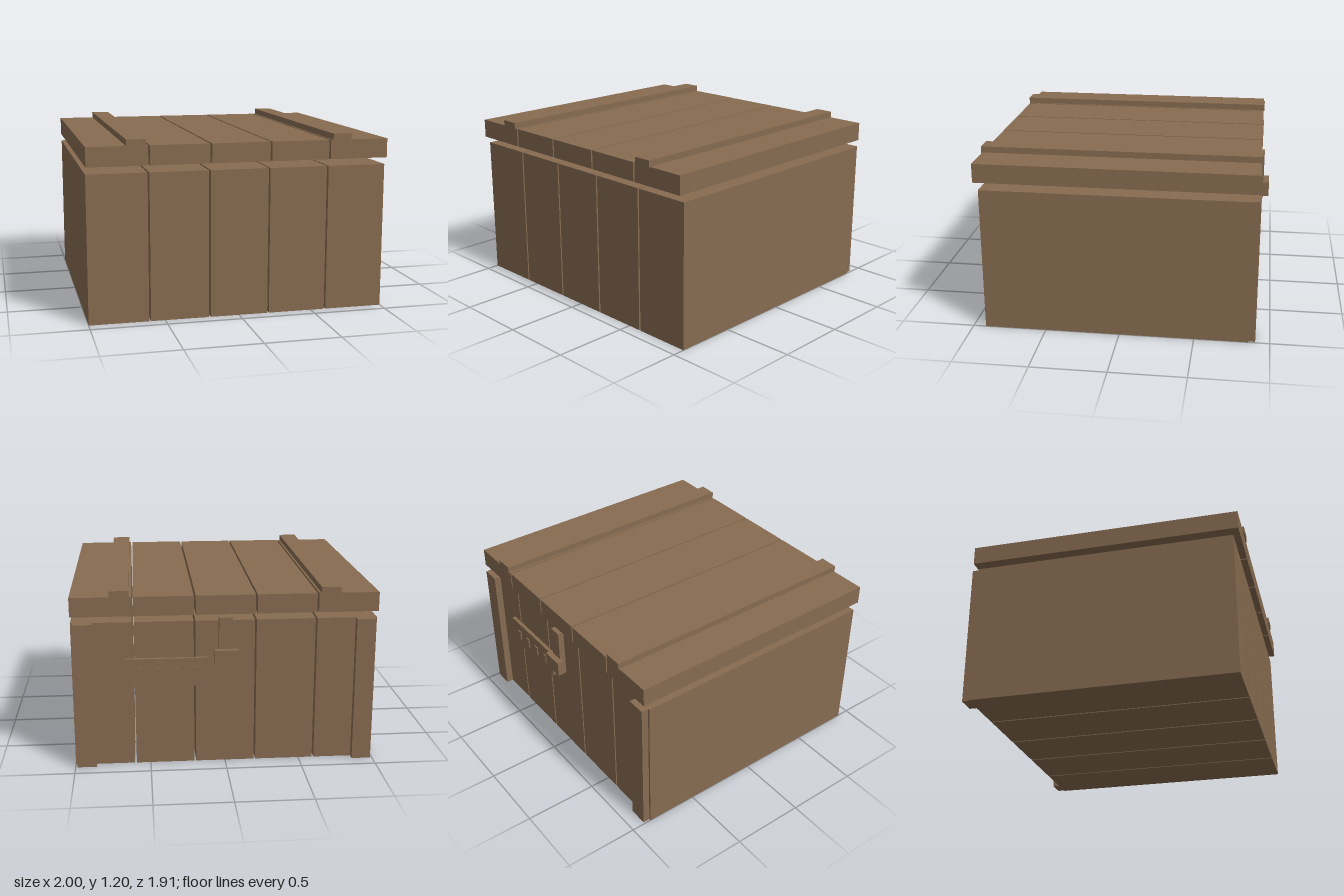
import * as THREE from 'three';

export function createModel() {
  const model = new THREE.Group();
  const wood = new THREE.MeshStandardMaterial({ color: 0x866b50 });
  wood.name = 'brown wood';

  // Box given by its lower and upper bounds on each axis
  function box(name, x0, x1, y0, y1, z0, z1) {
    const mesh = new THREE.Mesh(new THREE.BoxGeometry(x1 - x0, y1 - y0, z1 - z0), wood);
    mesh.position.set((x0 + x1) / 2, (y0 + y1) / 2, (z0 + z1) / 2);
    mesh.name = name;
    model.add(mesh);
  }

  // Five body planks and five lid planks, with narrow gaps between them
  for (let i = 0; i < 5; i++) {
    const x0 = i === 0 ? -1 : -1 + i * 0.4 + 0.006;
    const x1 = i === 4 ? 1 : -1 + (i + 1) * 0.4 - 0.006;
    box('bodyPlank', x0, x1, 0, 0.98, -0.857, 0.915);
    box('lidPlank', x0, x1, 1.03, 1.157, -0.897, 0.95);
  }

  // Lid battens and rear corner strips
  for (const s of [-1, 1]) {
    const [b0, b1] = [0.62 * s, 0.745 * s].sort((a, b) => a - b);
    box('lidBatten', b0, b1, 1.15, 1.198, -0.904, 0.957);
    const [c0, c1] = [0.86 * s, 0.987 * s].sort((a, b) => a - b);
    box('cornerStrip', c0, c1, 0, 0.98, -0.905, -0.855);
  }

  // Rear plate with four small raised tabs
  box('latchPlate', 0.11, 0.66, 0.55, 0.74, -0.895, -0.87);
  for (let i = 0; i < 4; i++) {
    const x = 0.205 + i * 0.117;
    box('plateTab', x - 0.016, x + 0.016, 0.61, 0.68, -0.904, -0.89);
  }

  // Latch arm and its cross block
  box('latchArm', -0.045, 0.045, 0.67, 1.012, -0.917, -0.875);
  box('latchBlock', -0.08, 0.076, 0.7, 0.803, -0.957, -0.91);

  return model;
}
